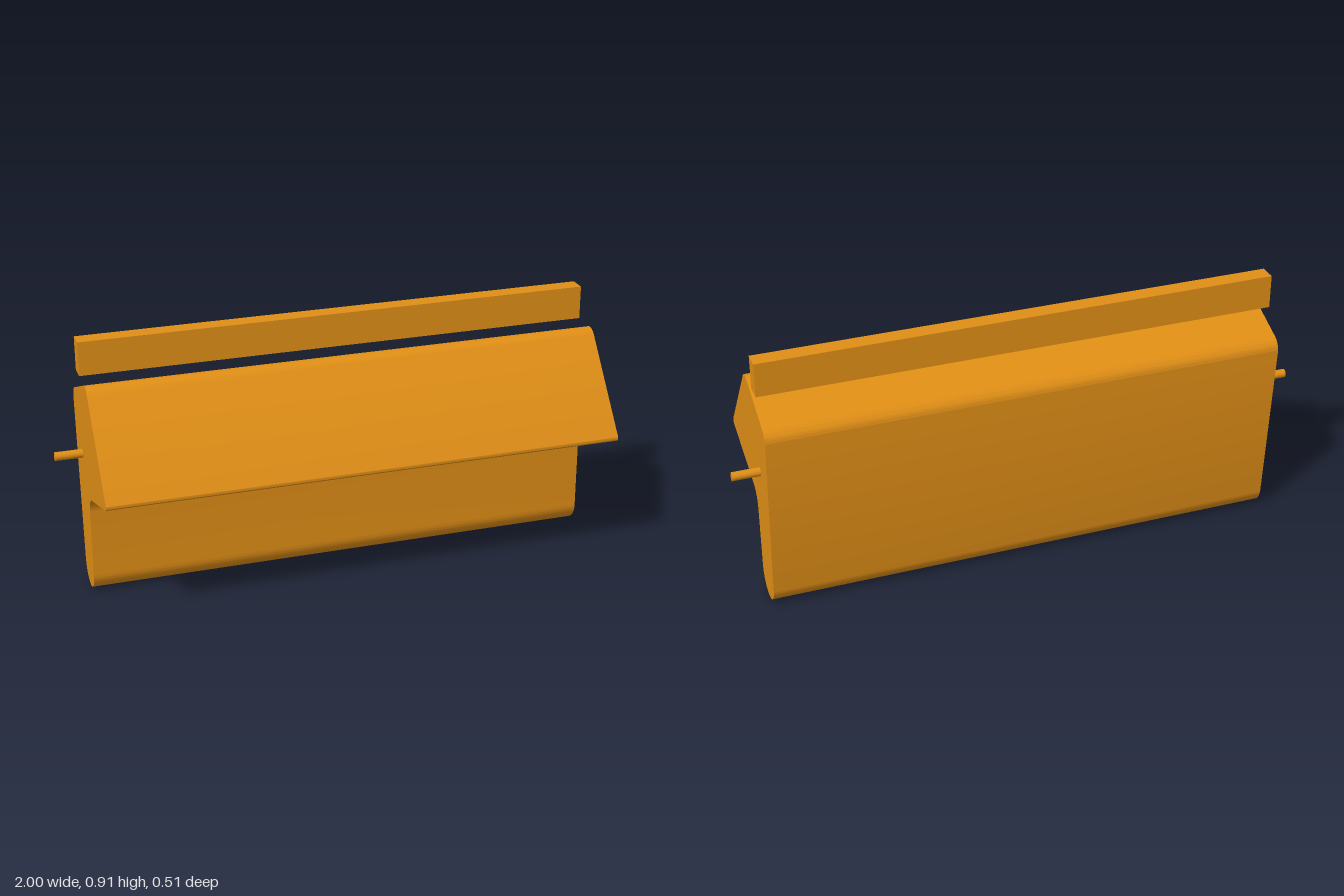
import * as THREE from 'three';
import { toCreasedNormals } from 'three/addons/utils/BufferGeometryUtils.js';

const LENGTH = 1.81;

// Adds a fillet of radius r at corner b, between the directions of a and c.
function fillet(shape, a, b, c, r) {
  const [A, B, C] = [a, b, c].map((p) => new THREE.Vector2(p[0], p[1]));
  const d1 = A.sub(B).normalize();
  const d2 = C.sub(B).normalize();
  const half = Math.acos(d1.dot(d2)) / 2;
  const mid = d1.clone().add(d2).normalize().multiplyScalar(r / Math.sin(half)).add(B);
  const t = r / Math.tan(half);
  const p1 = d1.clone().multiplyScalar(t).add(B).sub(mid);
  const p2 = d2.clone().multiplyScalar(t).add(B).sub(mid);
  const clockwise = p1.cross(p2) < 0;
  shape.absarc(mid.x, mid.y, r, p1.angle(), p2.angle(), clockwise);
}

// Side profile: horizontal axis is -z, vertical axis is y
function bodyProfile() {
  const tip = [-0.265, 0.469];
  const crest = [0.0025, 0.8036];
  const shoulder = [0.2576, 0.6974];
  const heel = [0.2118, 0.07];
  const toe = [0.062, 0.075];
  const crook = [0.062, 0.3665];
  const shape = new THREE.Shape();
  fillet(shape, crook, tip, crest, 0.012);
  fillet(shape, tip, crest, shoulder, 0.044);
  fillet(shape, crest, shoulder, heel, 0.05);
  shape.absarc(0.137, 0.075, 0.075, -0.07, -Math.PI, true); // rounded foot
  fillet(shape, toe, crook, tip, 0.075);
  shape.closePath();
  return shape;
}

export function createModel() {
  const group = new THREE.Group();
  const material = new THREE.MeshStandardMaterial({ color: 0xe08e16 });
  const add = (name, geometry) => {
    const mesh = new THREE.Mesh(geometry, material);
    mesh.name = name;
    group.add(mesh);
    return mesh;
  };

  // Long tilting body with a pointed lip and a hanging leg
  const body = new THREE.ExtrudeGeometry(bodyProfile(), {
    depth: LENGTH, bevelEnabled: false, curveSegments: 20,
  });
  body.translate(0, 0, -LENGTH / 2).rotateY(Math.PI / 2);
  add('body', toCreasedNormals(body, 0.5));

  // Pivot pin, standing out at both ends
  const pin = new THREE.CylinderGeometry(0.015, 0.015, 2, 32).rotateZ(Math.PI / 2);
  add('pivotPin', pin).position.set(0, 0.502, -0.141);

  // Separate stop bar above the body
  add('stopBar', new THREE.BoxGeometry(LENGTH, 0.119, 0.061)).position.set(0, 0.8555, -0.1375);

  return group;
}
